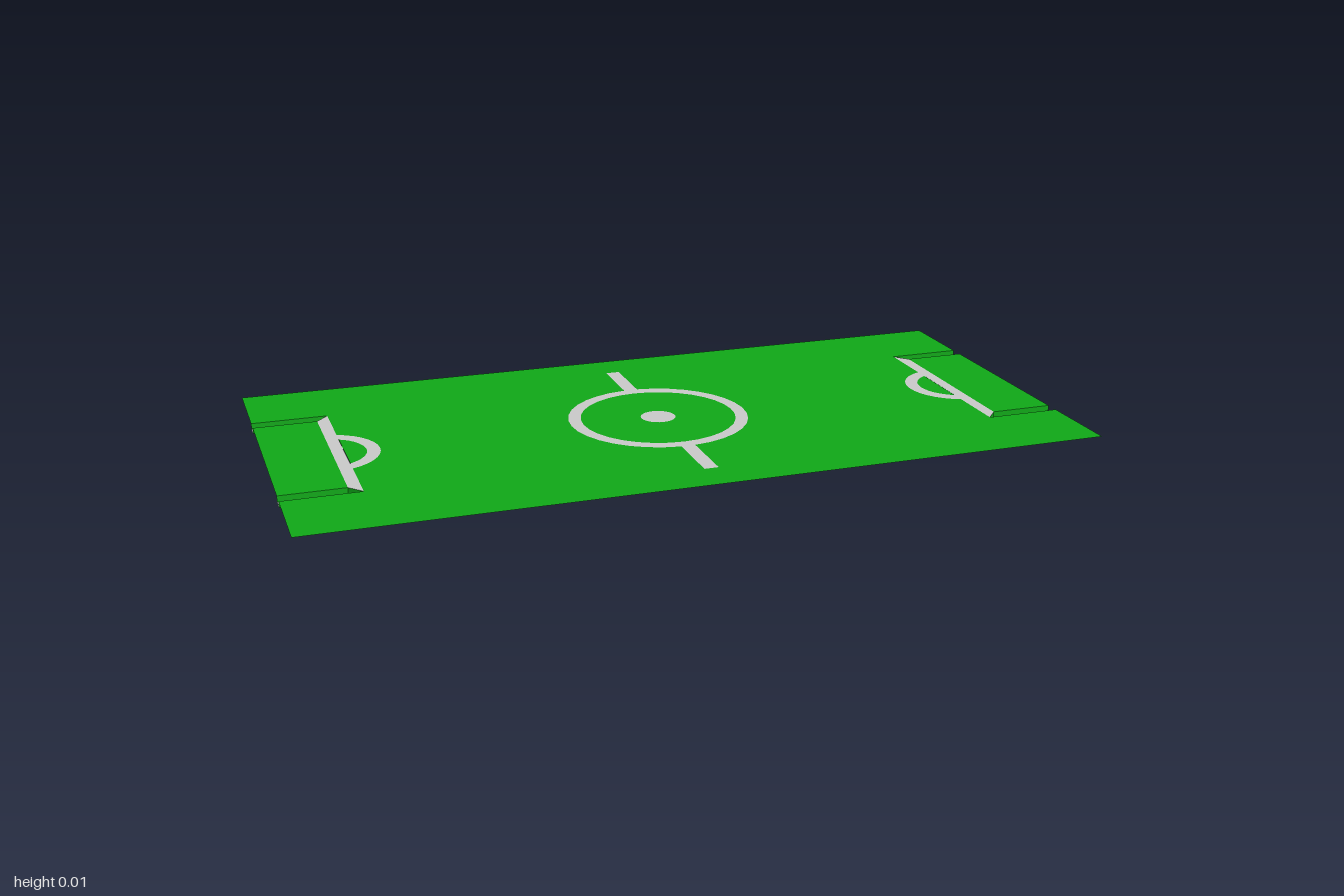
import * as THREE from 'three';

const H = 0.015;          // depth of the markings
const TURF_X = 1, TURF_Z = 0.5;
const RING = 0.232, RING_IN = 0.2, BAR = 0.018, BAR_END = 0.395;
const LINE_OUT = 0.807, LINE_IN = 0.838, BOX_OUT = 0.28, BOX_IN = 0.245;
const ARC_X = 0.853, ARC_R = 0.133, ARC_R_IN = 0.1;

const v = (x, y) => new THREE.Vector2(x, y);

function arc(cx, r, a0, a1, n) {
  return Array.from({ length: n + 1 }, (_, i) => {
    const a = a0 + (a1 - a0) * i / n;
    return v(cx + r * Math.cos(a), r * Math.sin(a));
  });
}

function shape(points, ...holes) {
  const s = new THREE.Shape(points);
  s.holes = holes.map(h => new THREE.Path(h));
  return s;
}

export function createModel() {
  const model = new THREE.Group();
  const green = new THREE.MeshStandardMaterial({ color: 0x10aa18, side: THREE.DoubleSide });
  const grey = new THREE.MeshStandardMaterial({ color: 0xcccccc, side: THREE.DoubleSide });

  const flat = (name, s, y, material, parent = model) => {
    const mesh = new THREE.Mesh(new THREE.ShapeGeometry(s).rotateX(-Math.PI / 2), material);
    mesh.position.y = y;
    mesh.name = name;
    parent.add(mesh);
  };
  const inlay = (name, s, parent = model) => {
    const g = new THREE.ExtrudeGeometry(s, { depth: H, bevelEnabled: false });
    const mesh = new THREE.Mesh(g.rotateX(-Math.PI / 2), [grey, green]);
    mesh.name = name;
    parent.add(mesh);
  };

  // Outlines shared by the turf and the markings
  const k = Math.asin(BAR / RING), q = Math.PI / 2;
  const centre = [
    ...arc(0, RING, -q + k, q - k, 16), v(BAR, BAR_END), v(-BAR, BAR_END),
    ...arc(0, RING, q + k, 3 * q - k, 16), v(-BAR, -BAR_END), v(BAR, -BAR_END),
  ];
  const ringHole = arc(0, RING_IN, 0, 4 * q, 32).slice(0, -1);
  const spot = arc(0, 0.045, 0, 4 * q, 24).slice(0, -1);
  const aOut = Math.acos((ARC_X - LINE_OUT) / ARC_R);
  const aIn = Math.acos((ARC_X - LINE_OUT) / ARC_R_IN);
  const outerArc = arc(ARC_X, ARC_R, 2 * q + aOut, 2 * q - aOut, 14);
  const innerArc = arc(ARC_X, ARC_R_IN, 2 * q + aIn, 2 * q - aIn, 14);

  // Turf: main sheet notched at both ends, and the disc inside the ring
  const end = [
    v(TURF_X, -TURF_Z), v(TURF_X, -BOX_OUT), v(LINE_OUT, -BOX_OUT), ...outerArc,
    v(LINE_OUT, BOX_OUT), v(TURF_X, BOX_OUT), v(TURF_X, TURF_Z),
  ];
  flat('turf', shape([...end, ...end.map(p => v(-p.x, -p.y))], centre), H, green);
  flat('centreTurf', shape(ringHole, spot), H, green);

  // Centre ring with halfway lines, and the centre spot
  inlay('centreRing', shape(centre, ringHole));
  inlay('centreSpot', shape(spot));

  // The two goal areas
  for (const side of ['left', 'right']) {
    const area = new THREE.Group();
    area.name = side + 'GoalArea';
    if (side === 'right') area.rotation.y = Math.PI;
    model.add(area);

    flat('goalTurf', shape([
      v(LINE_IN, -BOX_IN), v(TURF_X, -BOX_IN), v(TURF_X, BOX_IN), v(LINE_IN, BOX_IN),
    ]), H, green, area);
    flat('arcTurf', shape(innerArc), H, green, area);

    // Front line with its arc
    inlay('frontLine', shape([
      v(LINE_IN, -BOX_IN), v(LINE_IN, BOX_IN), v(LINE_OUT, BOX_OUT),
      ...outerArc.slice().reverse(), v(LINE_OUT, -BOX_OUT),
    ], innerArc.map(p => v(p.x + 0.0005, p.y))), area);

    // Sunken side lines with their walls
    for (const s of [1, -1]) {
      flat('sideLine', shape([
        v(LINE_IN, s * BOX_IN), v(TURF_X, s * BOX_IN), v(TURF_X, s * BOX_OUT), v(LINE_OUT, s * BOX_OUT),
      ]), 0, grey, area);
      for (const [x0, z] of [[LINE_IN, BOX_IN], [LINE_OUT, BOX_OUT]]) {
        const wall = new THREE.Mesh(new THREE.PlaneGeometry(TURF_X - x0, H), green);
        wall.name = 'sideLineWall';
        wall.position.set((TURF_X + x0) / 2, H / 2, s * z);
        area.add(wall);
      }
    }
  }
  return model;
}
